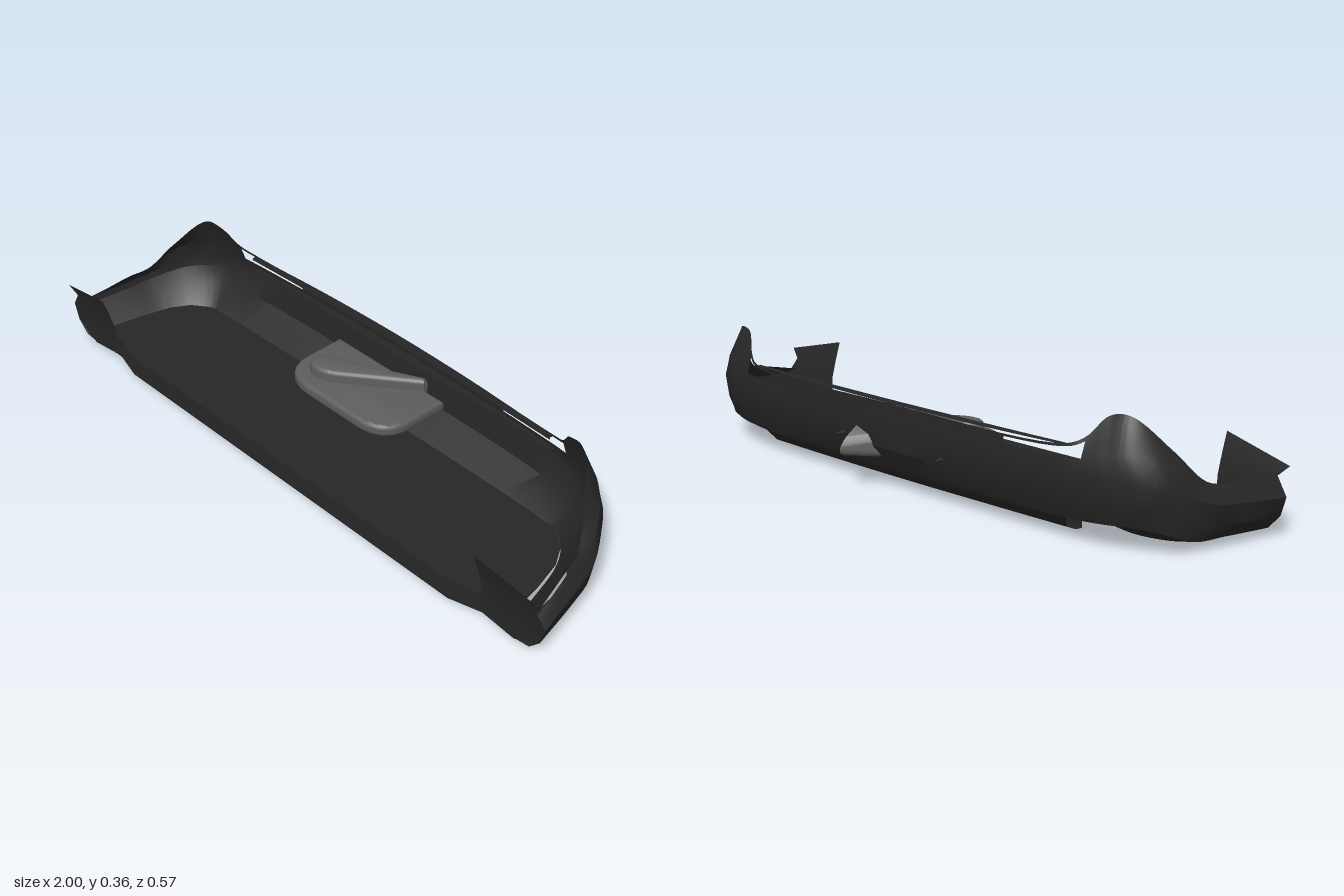
import * as THREE from 'three';
import { toCreasedNormals } from 'three/addons/utils/BufferGeometryUtils.js';

const dark = new THREE.MeshStandardMaterial({ color: 0x262626, side: THREE.DoubleSide });
const grey = new THREE.MeshStandardMaterial({ color: 0x5c5c5c, side: THREE.DoubleSide });

function add(group, name, geometry, material = dark) {
  const mesh = new THREE.Mesh(geometry, material);
  mesh.name = name;
  group.add(mesh);
  return mesh;
}

// Sheet through equally long rows of points; skip(a, b, row) leaves a hole
function sheet(rows, skip = () => false, crease = 0.6) {
  const n = rows[0].length, index = [];
  for (let r = 0; r < rows.length - 1; r++) {
    for (let i = 0; i < n - 1; i++) {
      if (skip(rows[r][i], rows[r][i + 1], r)) continue;
      const a = r * n + i, b = a + n;
      index.push(a, a + 1, b, a + 1, b + 1, b);
    }
  }
  const g = new THREE.BufferGeometry().setFromPoints(rows.flat());
  g.setIndex(index);
  g.computeVertexNormals();
  return toCreasedNormals(g, crease);
}

// Rail from the left end to the centre, mirrored to the right end
function rail(points) {
  const left = points.map(p => new THREE.Vector3(...p));
  const right = left.slice(0, -1).reverse().map(p => new THREE.Vector3(-p.x, p.y, p.z));
  const all = [...left, ...right];
  return new THREE.CatmullRomCurve3(all).getPoints((all.length - 1) * 10);
}

const mix = (a, b, t) => a.map((p, i) => p.clone().lerp(b[i], t));

// Shape drawn in (x, z), extruded upwards from y; deform(x, y, z) may return a new y
function slab(shape, y, height, bevel = 0, deform = (px, py) => py) {
  const g = new THREE.ExtrudeGeometry(shape, {
    depth: height - 2 * bevel, curveSegments: 16, bevelEnabled: bevel > 0,
    bevelSize: bevel, bevelThickness: bevel, bevelOffset: -bevel, bevelSegments: 4,
  });
  g.rotateX(Math.PI / 2).translate(0, y + height - bevel, 0);
  const p = g.attributes.position;
  for (let i = 0; i < p.count; i++) p.setY(i, deform(p.getX(i), p.getY(i), p.getZ(i)));
  return toCreasedNormals(g, 0.7);
}

export function createModel() {
  const model = new THREE.Group();
  model.name = 'bumper';

  // Outer skin, rails from the top rim to the lower return
  const top = rail([[.965, .13, .247], [.93, .173, .075], [.905, .19, .015], [.855, .272, -.055], [.775, .363, -.13], [.718, .357, -.145], [.67, .3, -.178], [.62, .277, -.2], [0, .272, -.227]]);
  const shoulder = rail([[.978, .126, .246], [.945, .158, .08], [.925, .175, 0], [.88, .235, -.09], [.80, .27, -.162], [.73, .258, -.186], [.67, .244, -.198], [.62, .239, -.207], [0, .237, -.229]]);
  const crease = rail([[1, .115, .245], [.965, .128, .08], [.945, .14, 0], [.90, .17, -.08], [.84, .2, -.152], [.75, .205, -.19], [.68, .208, -.203], [.62, .21, -.212], [0, .21, -.232]]);
  const middle = rail([[.985, .06, .244], [.955, .072, .08], [.935, .08, 0], [.89, .11, -.08], [.83, .13, -.148], [.75, .135, -.186], [.68, .135, -.2], [.62, .135, -.208], [0, .135, -.228]]);
  const lower = rail([[.95, .02, .242], [.922, .028, .08], [.905, .035, -.02], [.87, .06, -.09], [.81, .075, -.135], [.73, .074, -.165], [.66, .07, -.174], [.6, .068, -.18], [0, .067, -.19]]);
  const bottom = rail([[.89, .01, .24], [.87, .015, .08], [.86, .02, 0], [.82, .028, -.05], [.76, .04, -.09], [.70, .055, -.11], [.63, .06, -.125], [.57, .065, -.13], [0, .068, -.14]]);
  const slot = (a, b, row) => {
    const x = Math.abs(a.x + b.x) / 2;
    return row === 1 && x > 0.42 && x < 0.672;
  };
  add(model, 'outerSkin', sheet([top, mix(top, shoulder, 0.22), shoulder, crease, middle, lower, bottom], slot, 0.45));

  // Folded top lip along the middle, and the ledge below the slots
  const row = (half, y, z, bow) => Array.from({ length: 25 }, (_, i) => {
    const u = 1 - i / 12;
    return new THREE.Vector3(half * u, y, z + bow * u * u);
  });
  add(model, 'topLip', sheet([row(.62, .272, -.227, .027), row(.62, .274, -.2, .012), row(.62, .267, -.198, .012)]));
  add(model, 'innerLedge', sheet([row(.62, .225, -.23, .02), row(.62, .224, -.2, .01)]));

  // Inner liner from the floor edge up to the back of the skin
  const linerLow = rail([[.87, .03, .225], [.85, .045, .1], [.825, .055, 0], [.79, .062, -.06], [.735, .068, -.1], [.68, .07, -.105], [0, .07, -.11]]);
  const linerMid = rail([[.92, .08, .235], [.89, .09, .1], [.865, .1, 0], [.825, .115, -.08], [.765, .13, -.14], [.7, .14, -.165], [0, .14, -.19]]);
  const linerTop = rail([[.955, .125, .24], [.92, .14, .1], [.895, .155, 0], [.85, .175, -.09], [.78, .19, -.15], [.69, .222, -.182], [0, .224, -.2]]);
  add(model, 'innerLiner', sheet([linerLow, linerMid, linerTop]));

  // Flat floor panel
  const panel = new THREE.Shape([
    [.68, .254], [.78, .226], [.87, .225], [.85, .1], [.825, 0], [.79, -.06], [.735, -.1], [.68, -.115],
    [-.68, -.115], [-.735, -.1], [-.79, -.06], [-.825, 0], [-.85, .1], [-.87, .225], [-.78, .226], [-.68, .254],
  ].map(p => new THREE.Vector2(...p)));
  add(model, 'floorPanel', slab(panel, 0.064, 0.006));

  // Front lip hanging from the floor panel
  const lipEdge = (y, dz) => [[.87, .225], [.78, .226], [.68, .254], [-.68, .254], [-.78, .226], [-.87, .225]]
    .map(([x, z]) => new THREE.Vector3(x, y, z + dz));
  add(model, 'frontLip', sheet([lipEdge(.069, 0), lipEdge(.011, .006)]));

  // Lower rear valance, continuing the skin down and forward
  add(model, 'lowerValance', sheet([
    row(.61, .068, -.189, .01), row(.59, .035, -.166, .012), row(.57, .006, -.1, .008),
    row(.57, .003, -.07, .004), row(.57, .036, -.07, .004), row(.57, .068, -.09, 0),
  ]));

  // Wheel-arch flaps at both ends
  for (const s of [1, -1]) {
    const column = pts => pts.map(([x, y, z]) => new THREE.Vector3(s * x, y, z));
    const inner = column([[.78, .03, .246], [.78, .072, .244], [.78, .13, .247], [.78, .19, .264], [.78, .245, .282]]);
    const outer = column([[.9, .012, .243], [.985, .06, .244], [1, .115, .245], [.965, .165, .252], [.995, .195, .262]]);
    add(model, s > 0 ? 'leftFlap' : 'rightFlap', sheet([inner, outer], undefined, 0.9));
  }

  // Grey fitting: rounded mounting plate
  const plate = new THREE.Shape();
  plate.moveTo(-.22, -.19).lineTo(-.22, -.06);
  plate.bezierCurveTo(-.22, .02, -.17, .05, -.1, .05);
  plate.lineTo(.1, .05);
  plate.bezierCurveTo(.17, .05, .22, .02, .22, -.06);
  plate.lineTo(.22, -.19);
  add(model, 'mountingPlate', slab(plate, 0.135, 0.04, 0.015), grey);

  // Slanted body through the plate, its tip tapering behind the skin
  const body = new THREE.Shape();
  body.moveTo(.15, -.285).lineTo(-.14, -.065);
  body.bezierCurveTo(-.18, -.03, -.16, .005, -.12, .003);
  body.bezierCurveTo(-.09, .002, -.07, -.01, -.05, -.025);
  body.lineTo(.15, -.18);
  const taper = (x, y, z) => {
    const out = Math.max(0, -z - 0.2) / 0.085;
    return Math.min(y, 0.213 - 0.09 * out * out);
  };
  add(model, 'slantedBody', slab(body, 0.1, 0.113, 0.014, taper), grey);

  // Rounded underside of the fitting
  const lobe = add(model, 'lowerLobe', new THREE.SphereGeometry(1, 24, 12), grey);
  lobe.scale.set(.16, .05, .07);
  lobe.position.set(0, .12, -.1);
  lobe.rotation.y = 0.6;

  // Small pegs on the rear face
  for (const s of [1, -1]) {
    const peg = add(model, 'rearPeg', new THREE.ConeGeometry(.009, .04, 8));
    peg.rotation.x = -Math.PI / 2;
    peg.position.set(s * .2, .15, -.24);
  }
  return model;
}
